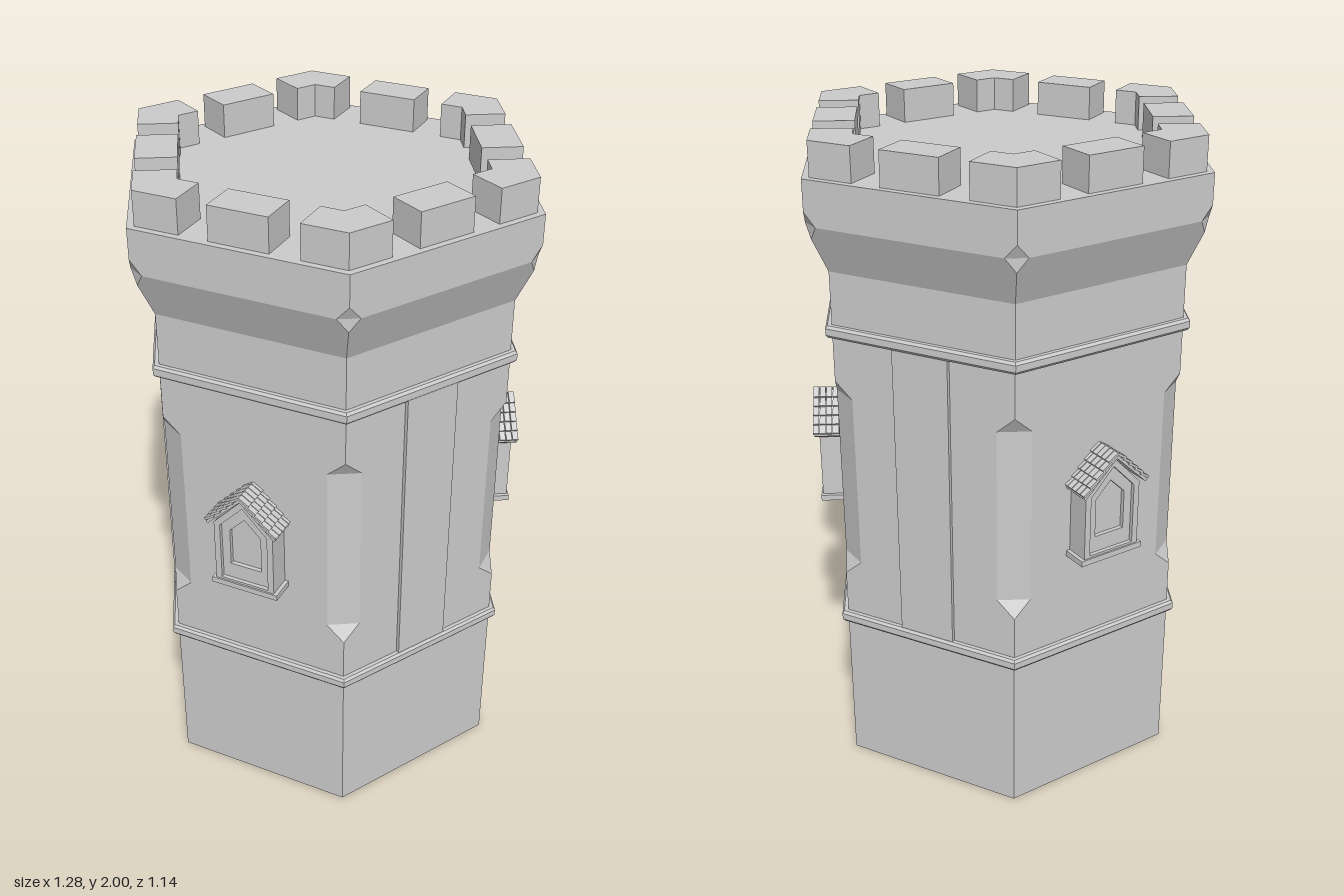
import * as THREE from 'three';

const grey = new THREE.MeshStandardMaterial({ color: 0xcccccc, flatShading: true });
const shellGrey = new THREE.MeshStandardMaterial({ color: 0xcccccc, flatShading: true, side: THREE.DoubleSide });
const SIXTH = Math.PI / 3;

function add(parent, name, geometry, x = 0, y = 0, z = 0) {
  const mesh = new THREE.Mesh(geometry, grey);
  mesh.name = name;
  mesh.position.set(x, y, z);
  parent.add(mesh);
  return mesh;
}

// Hexagonal ring of 12 points: each corner is split by c along both its faces
function hexRing([apothem, y, c = 0]) {
  const R = apothem / Math.cos(SIXTH / 2), ring = [];
  for (let k = 0; k < 6; k++) {
    for (const s of [-1, 1]) {
      const a = k * SIXTH, d = a + s * 2 * SIXTH;
      ring.push([R * Math.cos(a) + c * Math.cos(d), y, -R * Math.sin(a) - c * Math.sin(d)]);
    }
  }
  return ring;
}

// Outer shell lofted through rings, closed on top and open below
function shellGeometry(profile) {
  const rings = profile.map(hexRing), pos = [];
  for (let i = 0; i < rings.length - 1; i++) {
    for (let j = 0; j < 12; j++) {
      const n = (j + 1) % 12;
      const a = rings[i][j], b = rings[i][n], c = rings[i + 1][n], d = rings[i + 1][j];
      const same = (p, q) => Math.hypot(p[0] - q[0], p[1] - q[1], p[2] - q[2]) < 1e-6;
      if (!same(a, b)) pos.push(...a, ...b, ...c);
      if (!same(c, d)) pos.push(...a, ...c, ...d);
    }
  }
  const top = rings[rings.length - 1], y = top[0][1];
  for (let j = 1; j < 12; j += 2) pos.push(...top[j], ...top[(j + 1) % 12], 0, y, 0);
  const g = new THREE.BufferGeometry();
  g.setAttribute('position', new THREE.Float32BufferAttribute(pos, 3));
  g.computeVertexNormals();
  return g;
}

const belt = (y) => [[0.498, y], [0.51, y], [0.516, y + 0.008], [0.516, y + 0.028], [0.51, y + 0.036], [0.498, y + 0.036]];

// House-shaped outline: half width, bottom, eaves and apex heights
const gable = (w, y0, y1, y2) => [[-w, y0], [w, y0], [w, y1], [0, y2], [-w, y1]].map(([x, y]) => new THREE.Vector2(x, y));

function gablePlate(outer, hole, depth) {
  const shape = new THREE.Shape(outer);
  if (hole) shape.holes.push(new THREE.Path(hole));
  return new THREE.ExtrudeGeometry(shape, { depth, bevelEnabled: false });
}

// Gabled window bay standing out from the wall
function createWindow() {
  const g = new THREE.Group();
  g.name = 'windowBay';
  const outer = gable(0.095, 0.825, 1.035, 1.135);
  const middle = gable(0.076, 0.84, 1.028, 1.108);
  const inner = gable(0.05, 0.89, 1.01, 1.06);
  add(g, 'windowFrame', gablePlate(outer, middle, 0.08), 0, 0, 0.49);
  add(g, 'windowSurround', gablePlate(middle, inner, 0.068), 0, 0, 0.49);
  add(g, 'windowPane', gablePlate(inner, null, 0.055), 0, 0, 0.49);
  add(g, 'windowSill', new THREE.BoxGeometry(0.214, 0.018, 0.085), 0, 0.824, 0.5325);
  // Shingled roof: overlapping rows of small tiles on both slopes
  const slope = Math.atan2(0.108, 0.112), rows = 5, cols = 5;
  for (const s of [-1, 1]) {
    const board = add(g, 'roofBoard', new THREE.BoxGeometry(0.152, 0.009, 0.094), s * 0.055, 1.092, 0.537);
    board.rotation.z = -s * slope;
    for (let r = 0; r < rows; r++) {
      const t = (r + 0.5) / rows;
      for (let c = 0; c < cols; c++) {
        const tile = add(g, 'roofTile', new THREE.BoxGeometry(0.036, 0.007, 0.0175),
          s * (0.004 + 0.106 * t), 1.155 - 0.106 * t, 0.4995 + c * 0.0198);
        tile.rotation.z = -s * (slope - 0.2);
      }
    }
  }
  return g;
}

// Corner battlement: L-shaped block following two neighbouring faces
function cornerMerlonGeometry() {
  const R = 0.534 / Math.cos(SIXTH / 2), r = 0.417 / Math.cos(SIXTH / 2);
  const ax = R + 0.133 * Math.cos(2 * SIXTH), ay = 0.133 * Math.sin(2 * SIXTH);
  const bx = ax - 0.117 * Math.cos(SIXTH / 2), by = ay - 0.117 * Math.sin(SIXTH / 2);
  const pts = [[R, 0], [ax, ay], [bx, by], [r, 0], [bx, -by], [ax, -ay]];
  const shape = new THREE.Shape(pts.map(([x, y]) => new THREE.Vector2(x, y)));
  return new THREE.ExtrudeGeometry(shape, { depth: 0.1, bevelEnabled: false }).rotateX(-Math.PI / 2);
}

export function createModel() {
  const tower = new THREE.Group();
  tower.name = 'tower';
  const body = new THREE.Group();
  body.name = 'towerBody';
  body.position.z = -0.017;
  tower.add(body);

  // Walls with two belts, chamfered corners and a flared crown
  const walls = add(body, 'walls', shellGeometry([
    [0.498, 0], ...belt(0.491),
    [0.498, 0.66], [0.498, 0.71, 0.056], [0.498, 1.25, 0.056], [0.498, 1.3],
    ...belt(1.437),
    [0.498, 1.63], [0.538, 1.73], [0.554, 1.77, 0.036], [0.554, 1.81], [0.554, 1.9],
  ]));
  walls.material = shellGrey;

  const cornerMerlon = cornerMerlonGeometry();
  for (let k = 0; k < 6; k++) {
    const side = new THREE.Group();
    side.name = 'towerSide';
    side.rotation.y = k * SIXTH;
    body.add(side);
    // Windows and raised wall strips alternate around the tower
    if (k % 2 === 0) side.add(createWindow());
    else add(side, 'wallStrip', new THREE.BoxGeometry(0.175, 0.91, 0.02), 0, 0.983, 0.5);
    // Battlements
    add(side, 'middleMerlon', new THREE.BoxGeometry(0.176, 0.1, 0.117), 0, 1.95, 0.4755);
    add(body, 'cornerMerlon', cornerMerlon, 0, 1.9, 0).rotation.y = k * SIXTH;
  }
  return tower;
}
